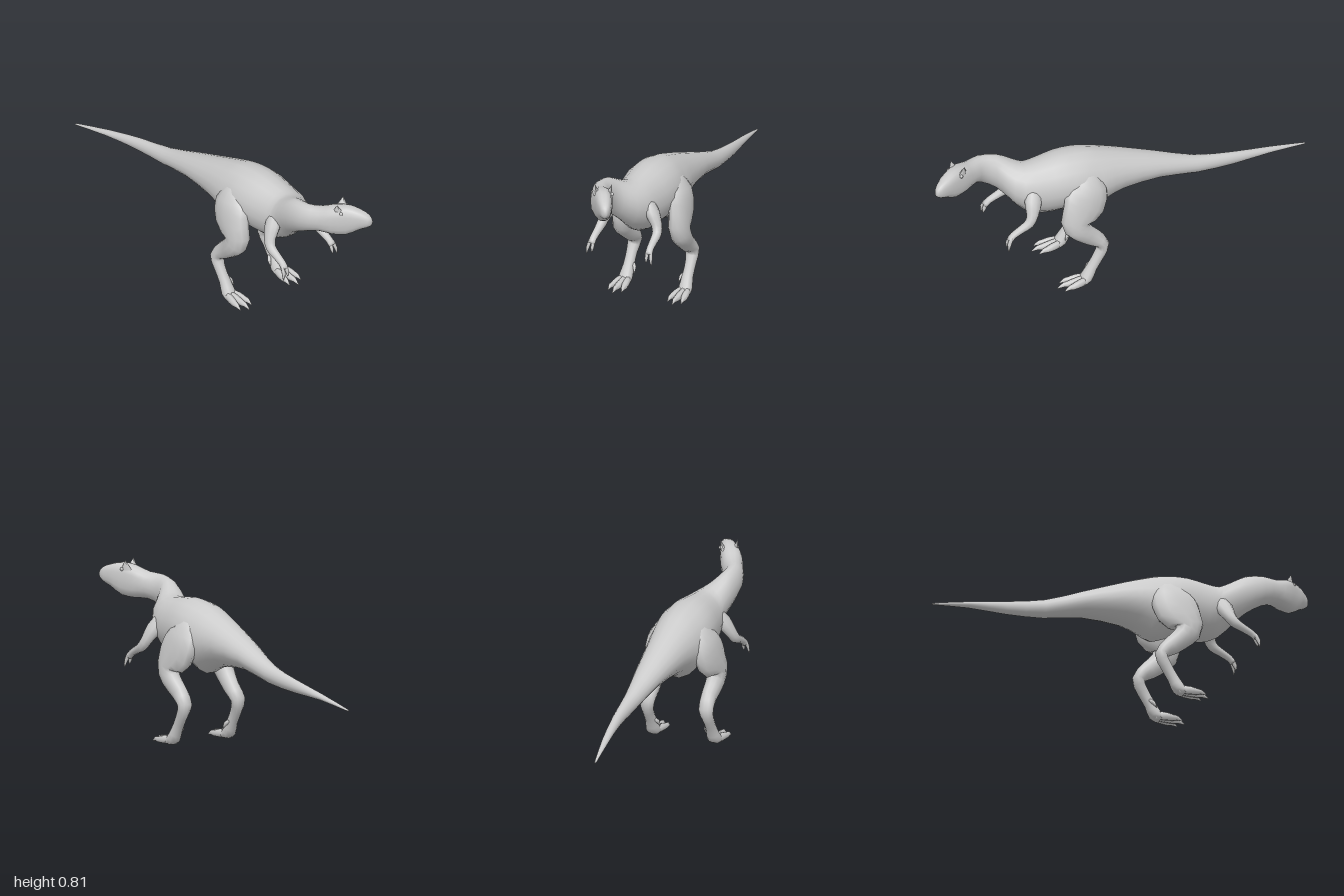
import * as THREE from 'three';

const material = new THREE.MeshStandardMaterial({ color: 0xcccccc });

// Catmull-Rom interpolation of every column of a station table
function smooth(rows, k) {
  const out = [];
  for (let i = 0; i < rows.length - 1; i++) {
    const a = rows[Math.max(i - 1, 0)], b = rows[i], c = rows[i + 1], d = rows[Math.min(i + 2, rows.length - 1)];
    for (let j = 0; j < k; j++) {
      const t = j / k;
      out.push(b.map((v, n) => v + 0.5 * t * (c[n] - a[n] + t * (2 * a[n] - 5 * v + 4 * c[n] - d[n] + t * (3 * (v - c[n]) + d[n] - a[n])))));
    }
  }
  out.push(rows[rows.length - 1]);
  return out;
}

// Skin over rings of points, closed at both ends
function loft(name, rings) {
  const n = rings[0].length, pos = [], index = [];
  rings.forEach(r => r.forEach(p => pos.push(p.x, p.y, p.z)));
  for (let i = 0; i < rings.length - 1; i++) {
    for (let j = 0; j < n; j++) {
      const a = i * n + j, b = i * n + (j + 1) % n;
      index.push(a, b, a + n, b, b + n, a + n);
    }
  }
  [0, rings.length - 1].forEach(i => {
    const mid = new THREE.Vector3();
    rings[i].forEach(p => mid.addScaledVector(p, 1 / n));
    const c = pos.length / 3;
    pos.push(mid.x, mid.y, mid.z);
    for (let j = 0; j < n; j++) {
      const a = i * n + j, b = i * n + (j + 1) % n;
      if (i) index.push(a, b, c); else index.push(b, a, c);
    }
  });
  const g = new THREE.BufferGeometry();
  g.setAttribute('position', new THREE.Float32BufferAttribute(pos, 3));
  g.setIndex(index);
  g.computeVertexNormals();
  const mesh = new THREE.Mesh(g, material);
  mesh.name = name;
  return mesh;
}

// Limb through stations [x, y, z, side radius, front radius]
function limb(name, rows, sides = 10, k = 2) {
  const st = smooth(rows, k);
  const at = i => new THREE.Vector3(...st[THREE.MathUtils.clamp(i, 0, st.length - 1)].slice(0, 3));
  return loft(name, st.map((s, i) => {
    const dir = at(i + 1).sub(at(i - 1)).normalize();
    const side = new THREE.Vector3(1, 0, 0);
    side.addScaledVector(dir, -side.dot(dir)).normalize();
    const up = dir.clone().cross(side);
    return Array.from({ length: sides }, (_, j) => {
      const a = j / sides * Math.PI * 2;
      return at(i).addScaledVector(side, s[3] * Math.cos(a)).addScaledVector(up, s[4] * Math.sin(a));
    });
  }));
}

// Tail, trunk, neck and head: upright rings [z, x, top, bottom, half width, squareness]
function makeBody() {
  const rows = smooth([
    [-1, -.045, .341, .331, .005, 0],
    [-.8, -.018, .392, .36, .018, 0],
    [-.6, .005, .437, .37, .026, 0],
    [-.4, .01, .48, .385, .042, 0],
    [-.2, .005, .555, .42, .072, 0],
    [0, 0, .632, .41, .104, 0],
    [.1, 0, .668, .378, .125, 0],
    [.16, 0, .688, .352, .135, 0],
    [.23, 0, .7, .38, .142, 0],
    [.32, 0, .705, .388, .138, 0],
    [.42, 0, .694, .392, .122, 0],
    [.5, -.006, .688, .43, .108, 0],
    [.56, -.035, .71, .495, .082, 0],
    [.62, -.063, .743, .55, .058, 0],
    [.7, -.07, .756, .6, .05, 0],
    [.77, -.04, .762, .628, .051, .1],
    [.83, -.008, .785, .628, .054, .25],
    [.89, .03, .797, .636, .045, .25],
    [.94, .058, .785, .672, .037, .25],
    [.98, .078, .767, .695, .026, .2],
    [1, .086, .745, .712, .012, .1],
  ], 2);
  const n = 18;
  const pow = (v, e) => Math.sign(v) * Math.pow(Math.abs(v), e);
  return loft('body', rows.map(([z, x, top, bottom, w, sq], i) => {
    const p = rows[Math.max(i - 1, 0)], q = rows[Math.min(i + 1, rows.length - 1)];
    const yaw = Math.atan2(q[1] - p[1], q[0] - p[0]);
    // the last rings turn square to the line of the head, without passing the tip
    const turn = z > .96 ? yaw * .4 : yaw;
    return Array.from({ length: n }, (_, j) => {
      const a = j / n * Math.PI * 2, s = Math.sin(a);
      const u = w * pow(Math.cos(a), 1 - sq) * (s < 0 ? 1 - .2 * s * s : 1);
      const y = (top + bottom) / 2 + (top - bottom) / 2 * pow(s, 1 - sq);
      return new THREE.Vector3(x + u * Math.cos(turn), y, Math.min(1, z - u * Math.sin(turn)));
    });
  }));
}

function makeLeg(m) {
  const leg = new THREE.Group();
  leg.name = m > 0 ? 'leftLeg' : 'rightLeg';
  const mir = rows => rows.map(([x, ...r]) => [x * m, ...r]);
  leg.add(limb('thighAndShin', mir([
    [.085, .61, .21, .03, .05],
    [.115, .54, .215, .052, .105],
    [.138, .46, .24, .05, .118],
    [.152, .385, .29, .048, .08],
    [.157, .325, .265, .045, .055],
    [.15, .265, .2, .038, .046],
    [.154, .212, .148, .038, .03],
    [.158, .15, .172, .028, .028],
    [.158, .09, .208, .028, .027],
    [.16, .04, .236, .035, .032],
    [.16, .02, .265, .034, .018],
  ]), 12));
  // three clawed toes
  [-1, 0, 1].forEach(t => leg.add(limb('toe', mir([
    [.16 + t * .014, .03, .235, .014, .022],
    [.16 + t * .025, .028, .285, .018, .021],
    [.16 + t * .031, .024, .335 - Math.abs(t) * .015, .015, .016],
    [.16 + t * .034, .024, .36 - Math.abs(t) * .02, .01, .012],
    [.16 + t * .036, .012, .39 - Math.abs(t) * .025, .002, .003],
  ]), 7)));
  leg.add(limb('dewclaw', mir([
    [.14, .1, .2, .01, .01], [.124, .085, .215, .009, .01], [.12, .06, .23, .002, .002],
  ]), 6));
  return leg;
}

function makeArm(m) {
  const arm = new THREE.Group();
  arm.name = m > 0 ? 'leftArm' : 'rightArm';
  const mir = rows => rows.map(([x, ...r]) => [x * m, ...r]);
  arm.add(limb('armBones', mir([
    [.075, .585, .475, .025, .04],
    [.105, .535, .495, .034, .044],
    [.135, .485, .51, .027, .032],
    [.148, .448, .533, .024, .026],
    [.15, .425, .575, .02, .02],
    [.152, .402, .62, .018, .017],
    [.154, .38, .64, .02, .014],
  ]), 10));
  // two fingers with hooked claws
  [-1, 1].forEach(t => arm.add(limb('finger', mir([
    [.154 + t * .008, .395, .632, .01, .011],
    [.157 + t * .012, .362, .648, .009, .01],
    [.16 + t * .014, .328 + (t < 0 ? .012 : 0), .652, .002, .002],
  ]), 6)));
  return arm;
}

// Brow horns and eyes, turned with the head
function makeFace() {
  const face = new THREE.Group();
  face.name = 'face';
  face.position.set(.018, .77, .862);
  face.rotation.y = .49;
  [-1, 1].forEach(m => {
    const horn = new THREE.Mesh(new THREE.ConeGeometry(.02, .05, 6), material);
    horn.name = 'browHorn';
    horn.scale.set(.7, 1, 1.5);
    horn.position.set(m * .036, .022, -.008);
    horn.rotation.z = -m * .25;
    const eye = new THREE.Mesh(new THREE.SphereGeometry(.009, 8, 6), material);
    eye.name = 'eye';
    eye.position.set(m * .041, 0, .012);
    face.add(horn, eye);
  });
  return face;
}

export function createModel() {
  const model = new THREE.Group();
  model.name = 'dinosaur';
  model.add(makeBody(), makeFace());
  [1, -1].forEach(m => model.add(makeLeg(m), makeArm(m)));
  return model;
}
